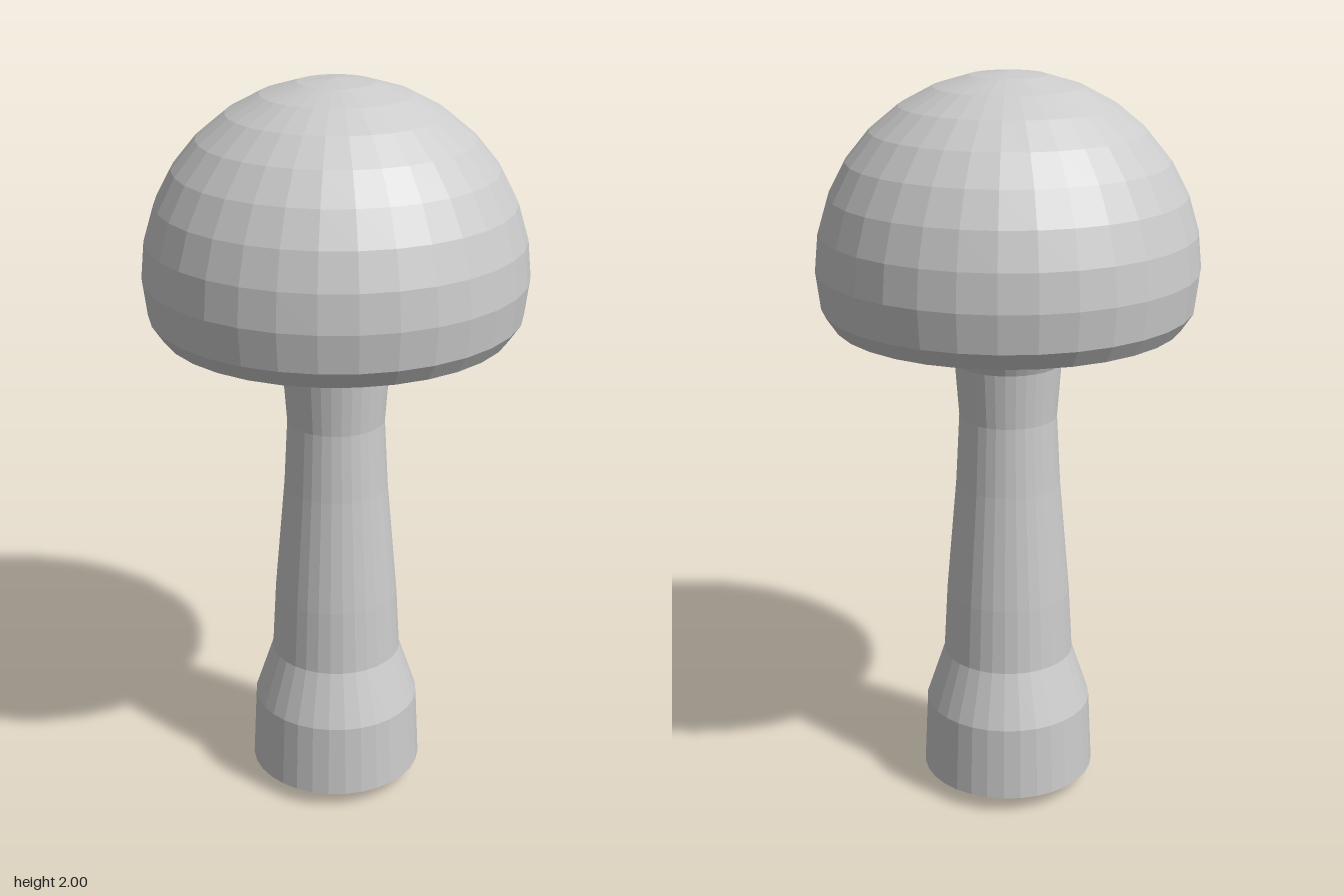
import * as THREE from 'three';

const SEGMENTS = 32;

// Faceted solid of revolution; profile runs from bottom to top
function turned(name, profile) {
  const points = profile.map(([r, y]) => new THREE.Vector2(r, y));
  const material = new THREE.MeshStandardMaterial({ color: 0xcccccc, flatShading: true, side: THREE.DoubleSide });
  const mesh = new THREE.Mesh(new THREE.LatheGeometry(points, SEGMENTS), material);
  mesh.name = name;
  return mesh;
}

export function createModel() {
  const group = new THREE.Group();
  group.name = 'mushroom';

  // Stem: shallow pointed foot, thick base, narrow waist, flared neck
  group.add(turned('stem', [
    [0, 0], [0.12, 0.015], [0.24, 0.045], [0.23, 0.25], [0.18, 0.4],
    [0.17, 0.58], [0.142, 0.9], [0.132, 1.09], [0.143, 1.24],
    [0.167, 1.3], [0.176, 1.355], [0.18, 1.4],
  ]));

  // Cap: slightly hollow underside, tucked rim, then a dome
  const cap = [[0.17, 1.39], [0.26, 1.41], [0.4, 1.39], [0.43, 1.36], [0.46, 1.355], [0.49, 1.4]];
  const rings = 8;
  for (let i = 0; i <= rings; i++) {
    const a = (i / rings) * Math.PI / 2;
    cap.push([i === rings ? 0 : 0.502 * Math.cos(a), 1.5 + 0.5 * Math.sin(a)]);
  }
  group.add(turned('cap', cap));

  return group;
}
